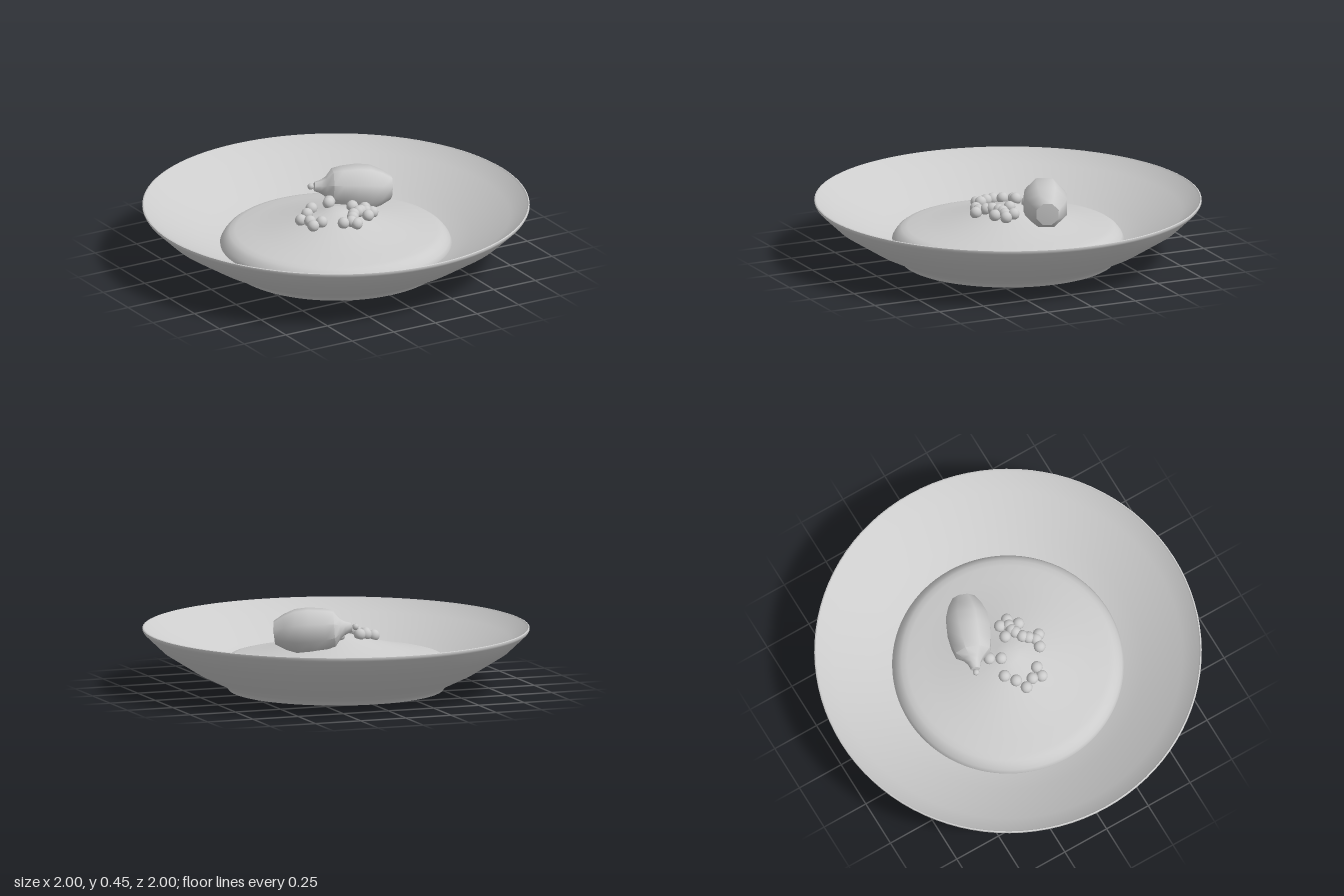
import * as THREE from 'three';
import { toCreasedNormals } from 'three/addons/utils/BufferGeometryUtils.js';

const grey = new THREE.MeshStandardMaterial({ color: 0xcccccc });
grey.name = 'plain grey';

function add(parent, name, geometry) {
  const mesh = new THREE.Mesh(geometry, grey);
  mesh.name = name;
  parent.add(mesh);
  return mesh;
}

function lathe(profile, sides, crease) {
  const points = profile.map(([r, y]) => new THREE.Vector2(r, y));
  return toCreasedNormals(new THREE.LatheGeometry(points, sides), crease);
}

// Height of the filling's peaked top at a distance from the centre
const fillingHeight = (r) => 0.18 + 0.13 * Math.pow(Math.max(0, 1 - r / 0.52), 1.2);

export function createModel() {
  const model = new THREE.Group();
  model.name = 'dessertBowl';

  // Shallow bowl: foot, flared outside, thin rim, then inside
  add(model, 'bowl', lathe([
    [0, 0], [0.525, 0], [0.555, 0.004], [0.568, 0.022], [0.588, 0.036],
    [0.72, 0.1], [0.895, 0.21], [0.993, 0.303], [1, 0.315], [0.999, 0.323], [0.993, 0.325],
    [0.985, 0.316], [0.9, 0.263], [0.8, 0.207], [0.7, 0.156], [0.6, 0.11], [0.5, 0.08], [0, 0.07],
  ], 96, 0.8));

  // Peaked filling with a softly bevelled edge
  const topRadii = [0.52, 0.44, 0.36, 0.28, 0.2, 0.12, 0.06, 0];
  add(model, 'filling', lathe([
    [0.597, 0.1], [0.598, 0.116], [0.588, 0.135], [0.57, 0.158], [0.55, 0.172],
    ...topRadii.map((r) => [r, fillingHeight(r)]),
  ], 96, 0.7));

  // Fruit lying on its side, stem towards the back right
  const fruit = new THREE.Group();
  fruit.name = 'fruit';
  const stemEnd = new THREE.Vector3(-0.02, 0.355, -0.205);
  const blunt = new THREE.Vector3(0.363, 0.325, -0.053);
  fruit.position.copy(stemEnd);
  fruit.quaternion.setFromUnitVectors(
    new THREE.Vector3(0, 1, 0), blunt.clone().sub(stemEnd).normalize());
  add(fruit, 'fruitBody', lathe([
    [0, 0.005], [0.024, 0.01], [0.036, 0.045], [0.054, 0.07], [0.096, 0.1], [0.11, 0.15],
    [0.121, 0.23], [0.117, 0.3], [0.094, 0.36], [0.062, 0.412], [0, 0.416],
  ], 8, 0.9));
  const stem = add(fruit, 'stem', new THREE.SphereGeometry(0.017, 10, 8));
  stem.position.y = -0.008;
  model.add(fruit);

  // Small berries scattered in broken rings, as x and z
  const spots = [
    [-0.05, 0.16], [-0.005, 0.165], [0.012, 0.19], [0.04, 0.11], [0.02, 0.135], [0.08, 0.03],
    [0.08, 0.09], [0.15, 0.04], [0.165, 0.09], [0.115, 0.13], [0.1, 0.08], [0.13, 0.08],
    [-0.205, -0.01], [-0.18, 0.04], [-0.19, 0.09], [-0.14, 0.09], [-0.15, -0.04],
    [-0.1, -0.08], [-0.015, -0.05], [0.02, -0.1],
  ];
  const berryShape = new THREE.SphereGeometry(0.031, 14, 10);
  const berries = new THREE.Group();
  berries.name = 'berries';
  for (const [x, z] of spots) {
    const berry = add(berries, 'berry', berryShape);
    berry.position.set(x, fillingHeight(Math.hypot(x, z)) + 0.02, z);
  }
  model.add(berries);

  return model;
}
